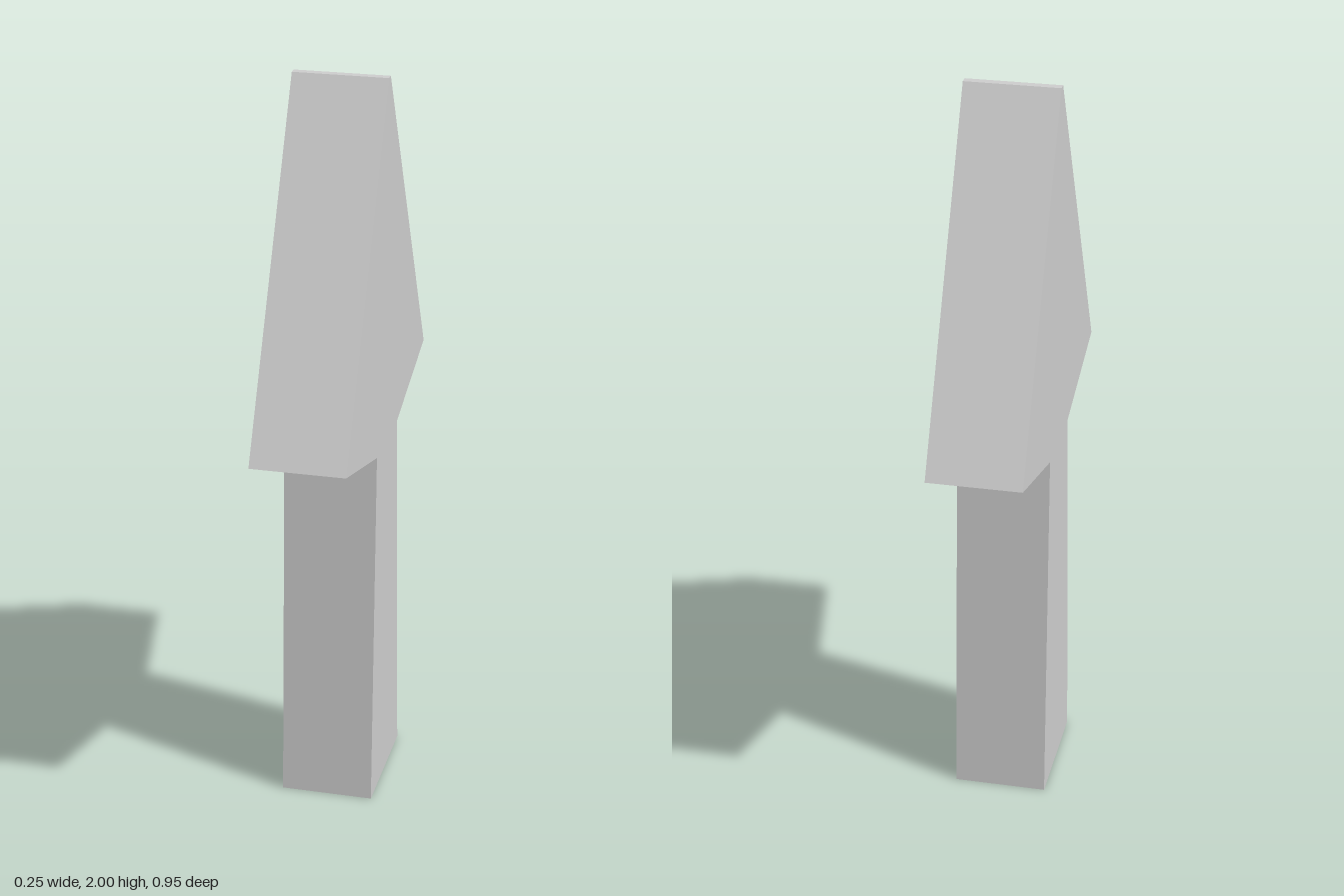
import * as THREE from 'three';

const DEPTH = 0.25;

export function createModel() {
  const group = new THREE.Group();
  group.name = 'arrowSign';

  // Right half of the outline (half width, height), from foot to blunt tip
  const half = [
    [0.172, 0],     // foot of the tapered shaft
    [0.122, 1.01],  // shaft meets head
    [0.474, 1.11],  // barb
    [0.011, 2],     // tip
  ];
  const mirrored = half.map(([w, y]) => [-w, y]).reverse();
  const outline = [...half, ...mirrored].map(([w, y]) => new THREE.Vector2(w, y));

  // Extrude the outline, then turn it so its flat faces look along x
  const geometry = new THREE.ExtrudeGeometry(new THREE.Shape(outline), {
    depth: DEPTH,
    bevelEnabled: false,
  });
  geometry.translate(0, 0, -DEPTH / 2);
  geometry.rotateY(Math.PI / 2);

  const arrow = new THREE.Mesh(
    geometry,
    new THREE.MeshStandardMaterial({ color: 0xcccccc, flatShading: true })
  );
  arrow.name = 'arrow';
  group.add(arrow);
  return group;
}
